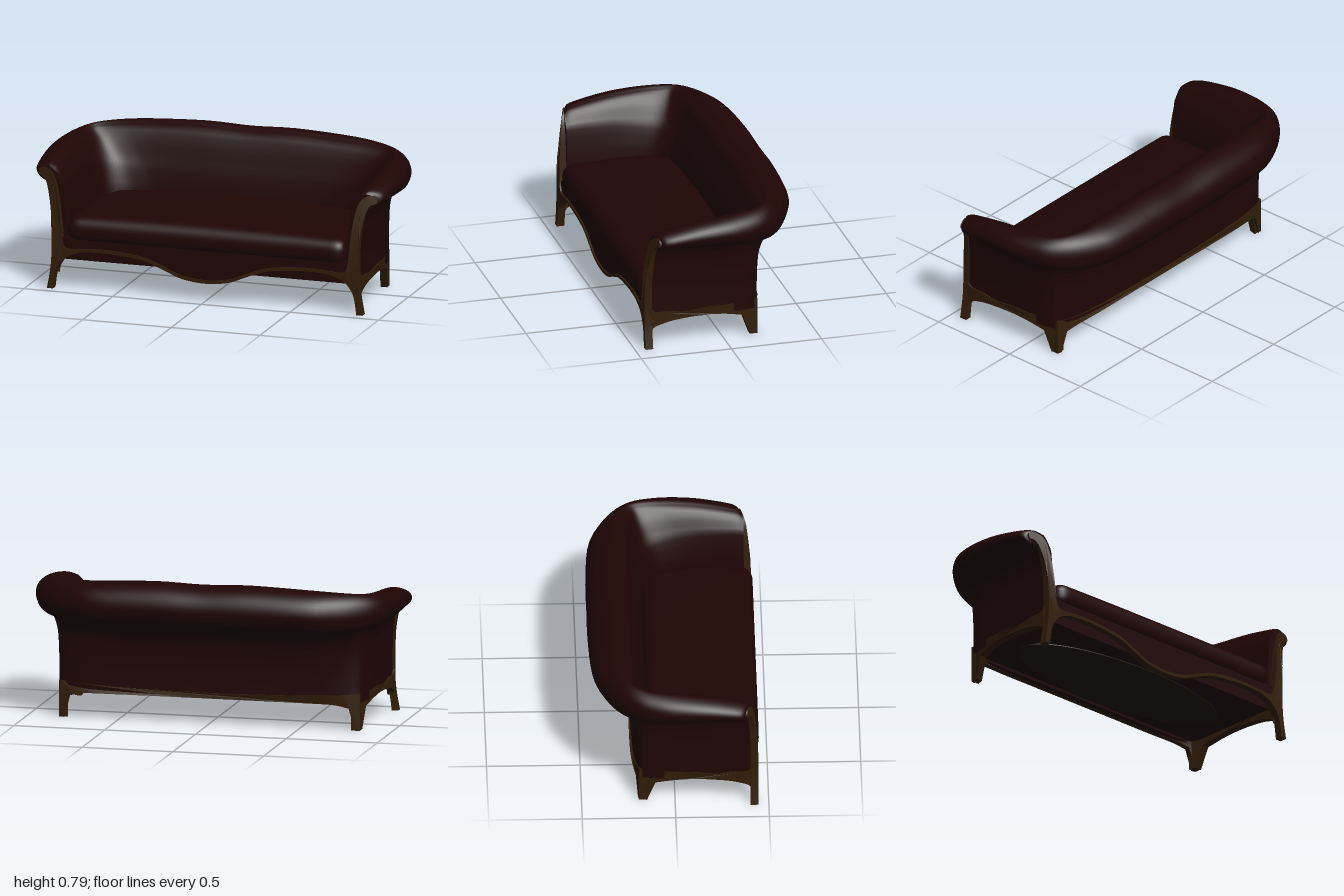
import * as THREE from 'three';
import { mergeVertices, toCreasedNormals } from 'three/addons/utils/BufferGeometryUtils.js';

const fabric = new THREE.MeshStandardMaterial({ color: 0x1f0504 });
fabric.name = 'dark red upholstery';
const wood = new THREE.MeshStandardMaterial({ color: 0x321e08 });
wood.name = 'brown wood';
const lining = new THREE.MeshStandardMaterial({ color: 0x1f1404 });
lining.name = 'dark underside lining';

const V2 = (p) => new THREE.Vector2(p[0], p[1]);
const spline = (pts, n) => new THREE.SplineCurve(pts.map(V2)).getPoints(n);
const mirrorPts = (pts) => [...pts.slice(1).reverse().map(([x, y]) => [-x, y]), ...pts];

// The rolled arm ends turn back slightly towards the outside
const turnBack = (x) => 0.31 * Math.max(0, Math.abs(x) - 0.86);

// Moves every vertex of a geometry by a rule
function bend(geo, rule) {
  const p = geo.attributes.position, v = new THREE.Vector3();
  for (let i = 0; i < p.count; i++) {
    v.fromBufferAttribute(p, i);
    rule(v);
    p.setXYZ(i, v.x, v.y, v.z);
  }
  return geo;
}

function plate(points, depth) {
  return new THREE.ExtrudeGeometry(new THREE.Shape(points), { depth, bevelEnabled: false, steps: 1 });
}

// Mirrors a non-indexed geometry in x, keeping its faces outward
function mirrored(geo) {
  const g = geo.clone().scale(-1, 1, 1), p = g.attributes.position;
  const a = new THREE.Vector3(), b = new THREE.Vector3();
  for (let i = 0; i < p.count; i += 3) {
    a.fromBufferAttribute(p, i + 1);
    b.fromBufferAttribute(p, i + 2);
    p.setXYZ(i + 1, b.x, b.y, b.z);
    p.setXYZ(i + 2, a.x, a.y, a.z);
  }
  return g;
}

// Half of the horseshoe: outer wall x,z / roll edge x,z / inner edge x,z / crease y, top y
const stations = [
  [0.86, 0.405, 0.95, 0.377, 0.79, 0.405, 0.58, 0.658],
  [0.86, 0.36, 0.982, 0.345, 0.785, 0.36, 0.587, 0.68],
  [0.858, 0.2, 0.996, 0.2, 0.775, 0.22, 0.59, 0.712],
  [0.855, 0.08, 1, 0.08, 0.765, 0.12, 0.585, 0.728],
  [0.85, -0.03, 0.988, -0.06, 0.745, 0.03, 0.575, 0.738],
  [0.84, -0.135, 0.942, -0.205, 0.7, -0.06, 0.565, 0.745],
  [0.815, -0.188, 0.845, -0.312, 0.62, -0.112, 0.555, 0.752],
  [0.72, -0.214, 0.71, -0.392, 0.52, -0.13, 0.545, 0.763],
  [0.55, -0.225, 0.56, -0.438, 0.42, -0.135, 0.54, 0.774],
  [0.25, -0.23, 0.25, -0.455, 0.2, -0.135, 0.54, 0.786],
  [0, -0.23, 0, -0.455, 0, -0.135, 0.54, 0.779],
];

// Cross-section: across (-1 inner, 0 wall, 1 roll edge), height (1 crease, 2 top)
const section = spline([
  [0, 0], [0, 0.4], [0.05, 0.7], [0.14, 0.84], [0.27, 0.94], [0.42, 1], [0.62, 1.01], [0.8, 1.08],
  [0.93, 1.24], [1, 1.47], [0.93, 1.7], [0.77, 1.86], [0.56, 1.96], [0.35, 2], [0.2, 1.94],
  [0.03, 1.85], [-0.27, 1.58], [-0.55, 1.2], [-0.78, 0.9], [-0.93, 0.65], [-1, 0.3]], 54);

function backAndArms() {
  const all = [...stations, ...stations.slice(0, -1).reverse().map((s) => s.map((n, i) => (i < 6 && i % 2 === 0 ? -n : n)))];
  const curves = [0, 2, 4, 6].map((k) => new THREE.CatmullRomCurve3(
    all.map((s) => new THREE.Vector3(s[k], 0, s[k + 1])), false, 'catmullrom', 0.5));
  const N = 80, rings = [], pos = [], idx = [];
  for (let i = 0; i <= N; i++) {
    const [b, o, n, h] = curves.map((c) => c.getPoint(i / N));
    rings.push(section.map(({ x: u, y: v }) => {
      const p = b.clone().lerp(u > 0 ? o : n, Math.abs(u));
      p.y = v < 1 ? 0.15 + (h.x - 0.15) * v : h.x + (h.z - h.x) * (v - 1);
      return p;
    }));
  }
  const M = section.length;
  rings.forEach((r) => r.forEach((p) => pos.push(p.x, p.y, p.z)));
  for (let i = 0; i < N; i++) for (let j = 0; j < M - 1; j++) {
    const a = i * M + j, b = a + M;
    idx.push(a, b, a + 1, b, b + 1, a + 1);
  }
  const geo = new THREE.BufferGeometry();
  geo.setAttribute('position', new THREE.Float32BufferAttribute(pos, 3));
  geo.setIndex(idx);
  geo.computeVertexNormals();
  // Ends closing the two arm fronts
  const caps = [rings[0], rings[N]].map((r) => bend(
    new THREE.ShapeGeometry(new THREE.Shape(r.map((p) => new THREE.Vector2(p.x, p.y)))),
    (v) => { v.z = 0.405 - turnBack(v.x); }));
  return [geo, ...caps];
}

function cushion() {
  const half = new THREE.Vector3(0.785, 0.07, 0.3), r = 0.06;
  const inner = half.clone().subScalar(r), c = new THREE.Vector3();
  let geo = new THREE.BoxGeometry(half.x * 2, half.y * 2, half.z * 2, 60, 10, 30);
  geo.deleteAttribute('uv');
  geo.deleteAttribute('normal');
  geo = mergeVertices(bend(geo, (v) => {
    c.copy(v).clamp(inner.clone().negate(), inner);
    v.sub(c).setLength(r).add(c);
    const nx = v.x / half.x, nz = v.z / half.z;
    // Crowned top rising to the back, rounded rear corners
    if (v.y > 0) v.y += 0.02 * (1 - nx ** 4) * (1 - nz * nz) + 0.028 * (1 - nz) * (1 - 0.6 * nx * nx);
    v.x *= 1 - 0.05 * Math.max(0, -nz) - 0.12 * Math.max(0, -nz) ** 3;
    v.y += 0.328;
    v.z += 0.15;
  }));
  geo.computeVertexNormals();
  return geo;
}

export function createModel() {
  const g = new THREE.Group();
  g.name = 'sofa';
  const add = (name, geo, mat) => {
    const m = new THREE.Mesh(geo, mat);
    m.name = name;
    g.add(m);
    return m;
  };
  const pair = (name, geo, mat) => {
    add(name + 'Left', toCreasedNormals(geo, 0.6), mat);
    add(name + 'Right', toCreasedNormals(mirrored(geo), 0.6), mat);
  };

  // Rolled back and arms in one sweep
  const [shell, capL, capR] = backAndArms();
  add('backAndArms', shell, fabric);
  add('armEndLeft', capL, fabric);
  add('armEndRight', capR, fabric);

  add('seatCushion', cushion(), fabric);

  // Seat base under the cushion, with its lining below
  const base = add('seatBase', new THREE.BoxGeometry(1.6, 0.127, 0.59), fabric);
  base.position.set(0, 0.2225, 0.11);
  const liner = add('undersideLining', new THREE.CylinderGeometry(1, 1, 0.006, 40), lining);
  liner.scale.set(0.7, 1, 0.24);
  liner.position.set(0, 0.157, 0.08);
  const backing = add('backRailLining', new THREE.BoxGeometry(1.5, 0.06, 0.03), fabric);
  backing.position.set(0, 0.175, -0.192);

  // Serpentine front apron and its wooden edge
  const wave = spline(mirrorPts([[0, 0.103], [0.08, 0.109], [0.15, 0.124], [0.25, 0.165], [0.35, 0.2],
    [0.5, 0.218], [0.62, 0.22], [0.74, 0.208], [0.82, 0.17]]), 64);
  const raised = wave.map((p) => new THREE.Vector2(p.x, p.y + 0.018)).reverse();
  const apron = plate([...wave, new THREE.Vector2(0.82, 0.285), new THREE.Vector2(-0.82, 0.285)], 0.032);
  add('frontApron', toCreasedNormals(apron.translate(0, 0, 0.404), 0.6), fabric);
  const trim = plate([...wave, ...raised], 0.038).translate(0, -0.003, 0.406);
  add('apronTrim', toCreasedNormals(trim, 0.6), wood);

  // Front leg sweeping up into the scrolled arm post, thinning towards the top
  const post = plate([
    ...spline([[0.855, 0], [0.842, 0.09], [0.82, 0.14], [0.775, 0.185], [0.7, 0.212]], 12),
    ...spline([[0.7, 0.232], [0.765, 0.225], [0.8, 0.25], [0.814, 0.35], [0.828, 0.48], [0.848, 0.58],
      [0.87, 0.625], [0.9, 0.648], [0.935, 0.65], [0.955, 0.635], [0.95, 0.61], [0.918, 0.597],
      [0.895, 0.55], [0.874, 0.45], [0.866, 0.35], [0.864, 0.2], [0.872, 0.1], [0.89, 0]], 50),
  ].reverse(), 0.042);
  pair('frontLegAndPost', bend(post, (v) => {
    const up = Math.max(0, v.y - 0.25);
    v.z = 0.403 + v.z * (1 - 5 * up * up) - (v.y > 0.4 ? turnBack(v.x) : 0);
  }), wood);

  // Arched side rail running down into the back leg
  const side = plate([
    ...spline([[0.41, 0.085], [0.395, 0.112], [0.36, 0.127], [0.28, 0.145], [0.13, 0.155], [0, 0.145], [-0.105, 0.12]], 24),
    V2([-0.15, 0]), V2([-0.19, 0]),
    ...spline([[-0.187, 0.2], [-0.1, 0.2], [0, 0.195], [0.1, 0.196], [0.22, 0.185], [0.3, 0.198], [0.38, 0.2], [0.41, 0.225]], 24),
  ].reverse(), 0.04).rotateY(-Math.PI / 2);
  pair('sideRailAndBackLeg', bend(side, (v) => {
    v.x += 0.869 - 0.034 * ((0.4 - v.z) / 0.55) ** 4 - 0.008 * (0.4 - v.z);
  }), wood);

  // Back rail following the curve of the back
  const low = spline(mirrorPts([[0, 0.145], [0.25, 0.145], [0.5, 0.144], [0.68, 0.14], [0.77, 0.12]]), 40);
  const high = spline(mirrorPts([[0, 0.175], [0.25, 0.178], [0.5, 0.183], [0.68, 0.19], [0.828, 0.2]]), 40).reverse();
  const rail = plate([V2([-0.828, 0]), V2([-0.802, 0]), ...low, V2([0.802, 0]), V2([0.828, 0]), ...high], 0.03);
  bend(rail, (v) => { v.z += -0.237 + 0.045 * Math.min(1, Math.abs(v.x) / 0.815) ** 8; });
  add('backRail', toCreasedNormals(rail, 0.6), wood);

  return g;
}
